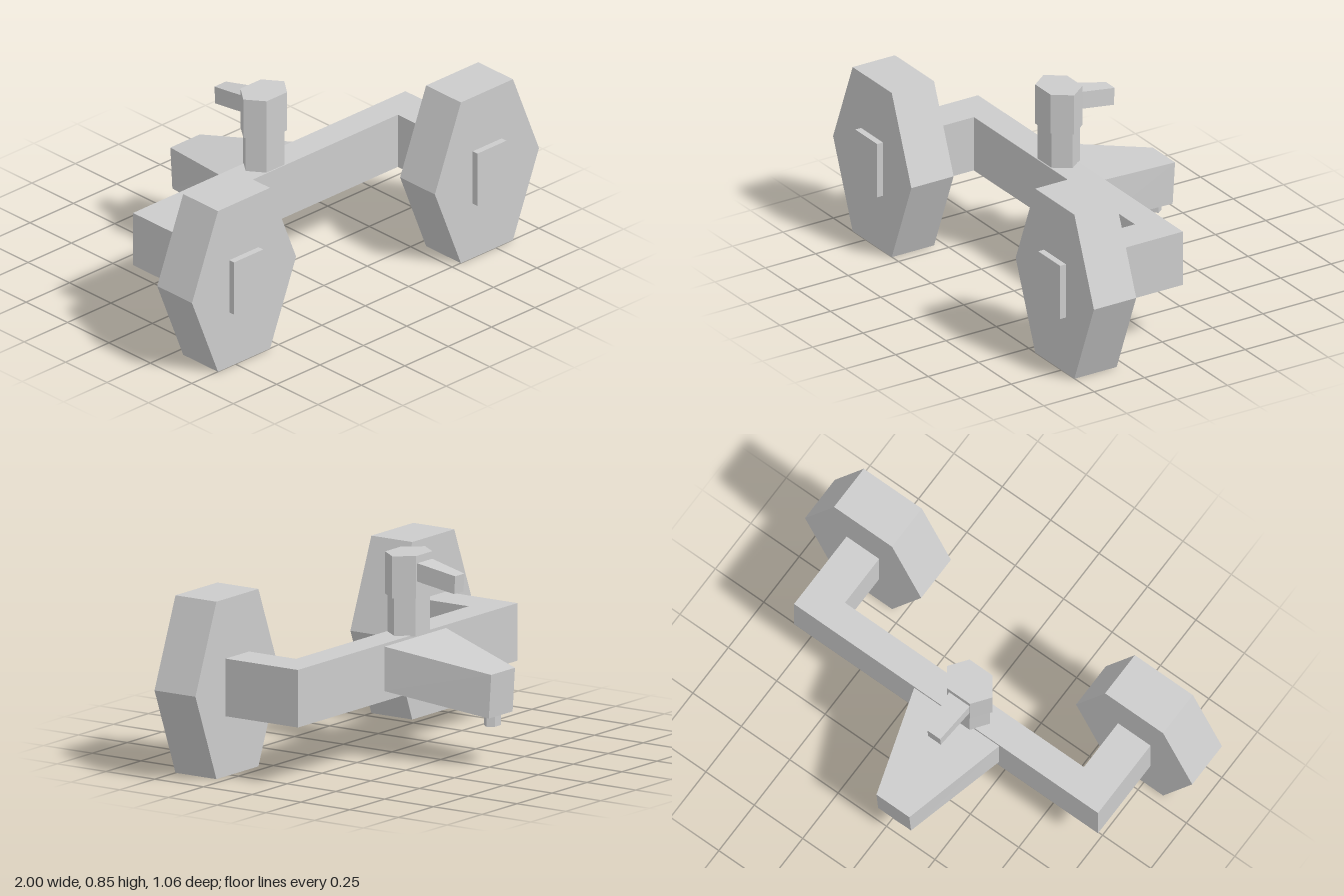
import * as THREE from 'three';

const material = new THREE.MeshStandardMaterial({ color: 0xcccccc, flatShading: true });

function add(group, name, geometry) {
  const mesh = new THREE.Mesh(geometry, material);
  mesh.name = name;
  group.add(mesh);
  return mesh;
}

function extrude(points, depth) {
  const shape = new THREE.Shape(points.map(([x, y]) => new THREE.Vector2(x, y)));
  return new THREE.ExtrudeGeometry(shape, { depth, bevelEnabled: false });
}

// Stretched hexagonal prism with points on +x and -x, extruded along z
function hexPrism(halfX, halfY, depth) {
  const f = halfX / 2;
  return extrude([[halfX, 0], [f, halfY], [-f, halfY], [-halfX, 0], [-f, -halfY], [f, -halfY]], depth);
}

// Upright hexagonal prism standing on y0
function hexPost(x, z, halfX, halfZ, y0, y1) {
  return hexPrism(halfX, halfZ, y1 - y0).rotateX(-Math.PI / 2).translate(x, y0, z);
}

// Tapered beam between two end sections: { z: [bottom, top], y: [bottom, top], half }
function taperedBeam(x, front, back) {
  const geometry = new THREE.BoxGeometry(2, 2, 2);
  const p = geometry.attributes.position;
  for (let i = 0; i < p.count; i++) {
    const end = p.getZ(i) > 0 ? front : back;
    const level = p.getY(i) > 0 ? 1 : 0;
    p.setXYZ(i, x + p.getX(i) * end.half, end.y[level], end.z[level]);
  }
  geometry.computeVertexNormals();
  return geometry;
}

export function createModel() {
  const model = new THREE.Group();
  model.name = 'wheeledFrame';

  // U-shaped frame: rear crossbar with two arms reaching through the wheels
  const outer = 0.785, inner = 0.617;
  add(model, 'frame', extrude([
    [-outer, -0.08], [outer, -0.08], [outer, 0.53], [inner, 0.53],
    [inner, 0.05], [-inner, 0.05], [-inner, 0.53], [-outer, 0.53],
  ], 0.246).rotateX(Math.PI / 2).translate(0, 0.503, 0));

  // Hexagonal wheels
  for (const [side, name] of [[1, 'leftWheel'], [-1, 'rightWheel']]) {
    add(model, name, hexPrism(0.3, 0.379, 0.21)).position.set(side * 0.7, 0.379, 0.291);
  }

  // Sloping tail with a small foot peg underneath
  add(model, 'tail', taperedBeam(-0.055,
    { z: [-0.078, -0.078], y: [0.3, 0.49], half: 0.22 },
    { z: [-0.518, -0.53], y: [0.215, 0.403], half: 0.085 }));
  add(model, 'footPeg', hexPost(-0.055, -0.476, 0.043, 0.029, 0.167, 0.24));

  // Post, cap and rear handle
  add(model, 'post', hexPost(-0.083, -0.026, 0.104, 0.071, 0.5, 0.665));
  add(model, 'postCap', hexPost(-0.083, -0.026, 0.118, 0.079, 0.665, 0.845));
  add(model, 'handle', taperedBeam(-0.087,
    { z: [-0.1, -0.1], y: [0.736, 0.814], half: 0.054 },
    { z: [-0.28, -0.285], y: [0.7, 0.777], half: 0.033 }));

  return model;
}
